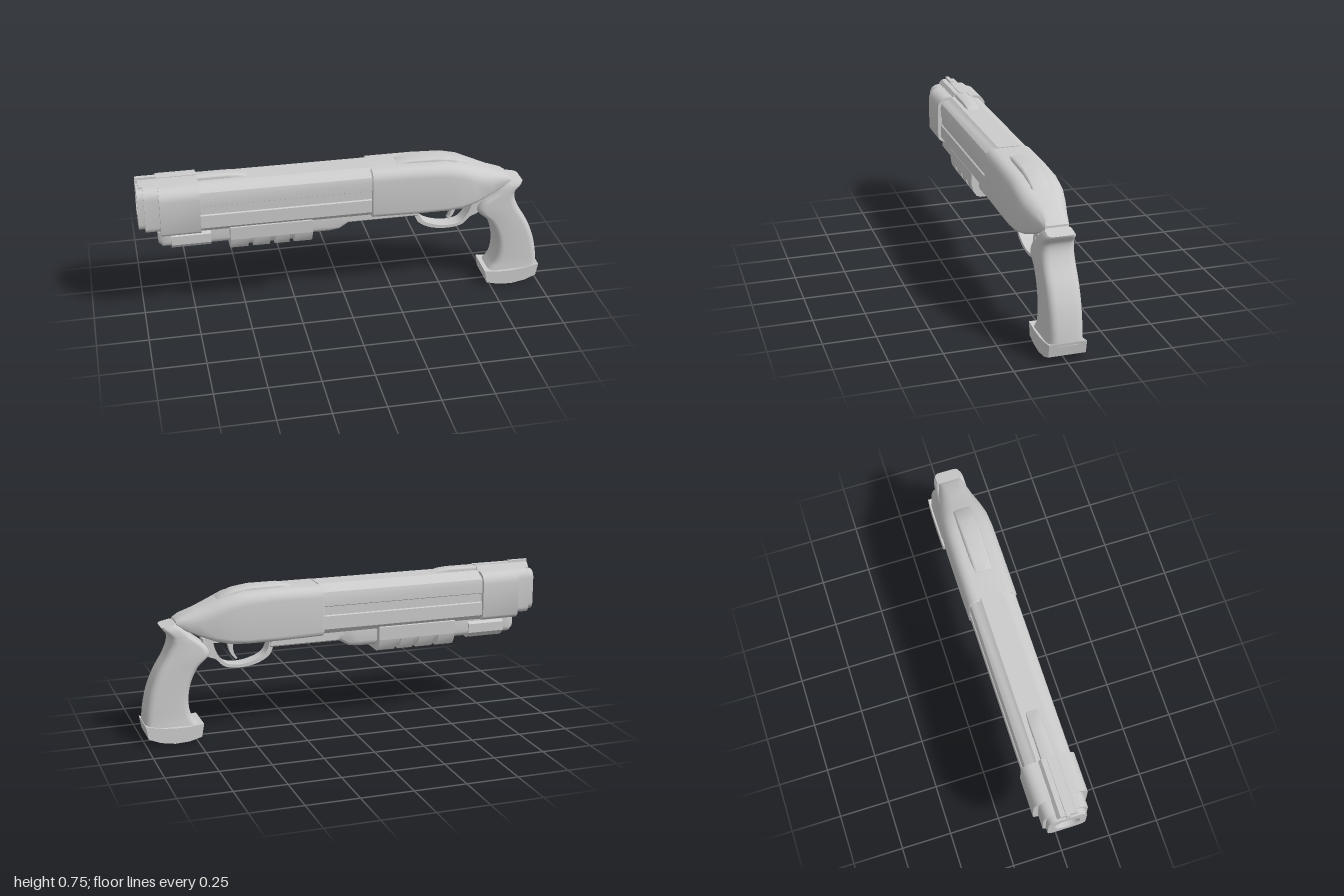
import * as THREE from 'three';
import { toCreasedNormals } from 'three/addons/utils/BufferGeometryUtils.js';

const V2 = (x, y) => new THREE.Vector2(x, y);
const V3 = (x, y, z) => new THREE.Vector3(x, y, z);

// Rounded outline, counter-clockwise: u across, v from bottom to top, own radii below and above
function outline(hw, bottom, top, rBottom, rTop, steps = 5) {
  const points = [];
  const corners = [
    [hw - rBottom, bottom + rBottom, rBottom, -0.5], [hw - rTop, top - rTop, rTop, 0],
    [-hw + rTop, top - rTop, rTop, 0.5], [-hw + rBottom, bottom + rBottom, rBottom, 1],
  ];
  for (const [u, v, r, start] of corners) {
    for (let i = 0; i <= steps; i++) {
      const a = (start + 0.5 * i / steps) * Math.PI;
      points.push(V2(u + r * Math.cos(a), v + r * Math.sin(a)));
    }
  }
  return points;
}

// Closed skin through rings of equal point count
function loft(rings, crease = 0.6) {
  const pos = [];
  const tri = (a, b, c) => [a, b, c].forEach((p) => pos.push(p.x, p.y, p.z));
  const n = rings[0].length;
  const middle = (ring) => ring.reduce((s, p) => s.add(p), V3(0, 0, 0)).divideScalar(n);
  const first = rings[0], last = rings[rings.length - 1];
  const c0 = middle(first), c1 = middle(last);
  for (let i = 0; i < n; i++) {
    const j = (i + 1) % n;
    for (let k = 0; k < rings.length - 1; k++) {
      const a = rings[k], b = rings[k + 1];
      tri(a[i], a[j], b[j]);
      tri(a[i], b[j], b[i]);
    }
    tri(c0, first[j], first[i]);
    tri(c1, last[i], last[j]);
  }
  const g = new THREE.BufferGeometry();
  g.setAttribute('position', new THREE.Float32BufferAttribute(pos, 3));
  return toCreasedNormals(g, crease);
}

// Sections along x: [x, bottom, top, halfWidth, bottomRadius, topRadius]
const loftX = (sections) => loft(sections.map(([x, b, t, hw, rb, rt]) =>
  outline(hw, b, t, rb, rt).map((p) => V3(x, p.y, -p.x))));

// Cross-section pulled along x, with an optional round bore
function extrudeX(points, x0, x1, bore) {
  const shape = new THREE.Shape(points);
  if (bore) shape.holes.push(new THREE.Path().absarc(0, 0.61, bore, 0, Math.PI * 2, true));
  const g = new THREE.ExtrudeGeometry(shape, { depth: x1 - x0, bevelEnabled: false, curveSegments: 32 });
  return toCreasedNormals(g.rotateY(Math.PI / 2).translate(x0, 0, 0), 0.6);
}

// Side silhouette pulled across z
function extrudeZ(shape, hw) {
  const g = new THREE.ExtrudeGeometry(shape, { depth: 2 * hw, bevelEnabled: false, curveSegments: 24 });
  return toCreasedNormals(g.translate(0, 0, -hw), 0.6);
}

// Mirrored cross-section from its right half, listed bottom to top
const mirrored = (half) => [
  ...half.map(([u, v]) => V2(u, v)),
  ...half.slice().reverse().map(([u, v]) => V2(-u, v)),
];
const spline = (pts) => new THREE.CatmullRomCurve3(pts.map(([x, y]) => V3(x, y, 0)))
  .getPoints(32).map((p) => V2(p.x, p.y));

export function createModel() {
  const group = new THREE.Group();
  const material = new THREE.MeshStandardMaterial({ color: 0xcccccc });
  const add = (name, geometry) => {
    const mesh = new THREE.Mesh(geometry, material);
    mesh.name = name;
    group.add(mesh);
  };

  // Muzzle: stepped collars with an open bore
  add('muzzleRing', extrudeX(outline(0.092, 0.505, 0.71, 0.035, 0.04), -1, -0.97, 0.062));
  add('muzzleCollar', extrudeX(outline(0.106, 0.495, 0.718, 0.03, 0.045), -0.97, -0.9, 0.055));
  add('muzzleBlock', extrudeX(outline(0.13, 0.478, 0.72, 0.032, 0.055), -0.9, -0.71, 0.055));

  // Barrel shroud with a long groove down each side
  add('barrelShroud', extrudeX(mirrored([
    [0.09, 0.48], [0.114, 0.505], [0.114, 0.57], [0.107, 0.574], [0.107, 0.616], [0.114, 0.62],
    [0.114, 0.665], [0.108, 0.688], [0.09, 0.703], [0.07, 0.708], [0.055, 0.72],
  ]), -0.71, 0.13));

  // Receiver, tapering to the rear
  add('receiver', loftX([
    [0.12, 0.476, 0.712, 0.115, 0.025, 0.05],
    [0.125, 0.472, 0.716, 0.12, 0.025, 0.05],
    [0.35, 0.467, 0.716, 0.12, 0.025, 0.05],
    [0.5, 0.467, 0.712, 0.12, 0.025, 0.055],
    [0.58, 0.472, 0.697, 0.117, 0.025, 0.06],
    [0.65, 0.487, 0.67, 0.106, 0.025, 0.065],
    [0.73, 0.517, 0.64, 0.085, 0.022, 0.06],
    [0.8, 0.55, 0.615, 0.066, 0.015, 0.035],
    [0.83, 0.57, 0.592, 0.056, 0.008, 0.01],
  ]));
  add('receiverHump', loftX([
    [0.26, 0.69, 0.718, 0.04, 0.002, 0.008],
    [0.32, 0.69, 0.73, 0.046, 0.002, 0.015],
    [0.46, 0.69, 0.73, 0.048, 0.002, 0.015],
    [0.54, 0.67, 0.719, 0.048, 0.002, 0.015],
    [0.61, 0.65, 0.695, 0.047, 0.002, 0.015],
    [0.64, 0.64, 0.665, 0.042, 0.002, 0.008],
  ]));

  // Top rib and sight
  const rib = (hw, top) => mirrored([[hw + 0.015, 0.7], [hw + 0.015, 0.718], [hw, top]]);
  add('topRib', loftX([
    [-0.98, 0.69, 0.737, 0.034, 0.002, 0.01],
    [-0.57, 0.69, 0.737, 0.034, 0.002, 0.01],
    [-0.52, 0.69, 0.733, 0.034, 0.002, 0.01],
    [-0.47, 0.69, 0.72, 0.03, 0.002, 0.005],
  ]));
  add('ribBase', extrudeX(rib(0.034, 0.738), -0.99, -0.71));
  add('frontSight', extrudeX(outline(0.009, 0.72, 0.749, 0.001, 0.001, 1), -1, -0.9));
  add('sightRail', extrudeX(outline(0.009, 0.72, 0.742, 0.001, 0.001, 1), -0.9, -0.71));

  // Magazine tube and its front cap
  add('magazineCap', loftX([
    [-0.91, 0.405, 0.475, 0.05, 0.025, 0.01],
    [-0.89, 0.39, 0.48, 0.062, 0.028, 0.01],
    [-0.85, 0.39, 0.48, 0.062, 0.028, 0.01],
  ]));
  add('magazineSleeve', extrudeX(mirrored([
    [0.04, 0.376], [0.072, 0.405], [0.072, 0.45], [0.055, 0.462], [0.055, 0.485],
  ]), -0.85, -0.66));
  add('magazineTube', loftX([
    [-0.66, 0.386, 0.488, 0.062, 0.03, 0.01],
    [-0.08, 0.386, 0.488, 0.062, 0.03, 0.01],
    [-0.03, 0.392, 0.488, 0.06, 0.028, 0.01],
    [0.02, 0.422, 0.488, 0.05, 0.018, 0.01],
  ]));
  add('underRail', extrudeX(mirrored([
    [0.036, 0.42], [0.046, 0.428], [0.046, 0.446], [0.06, 0.45], [0.06, 0.485],
  ]), 0, 0.37));

  // Sliding foregrip: core, shoulders and four ribs parted by notches
  add('foregripCore', extrudeX(mirrored([
    [0.06, 0.372], [0.085, 0.41], [0.088, 0.49],
  ]), -0.565, -0.175));
  add('foregripShoulder', extrudeX(mirrored([[0.1, 0.42], [0.102, 0.485], [0.095, 0.493]]), -0.57, -0.17));
  for (const [a, b] of [[-0.57, -0.483], [-0.458, -0.378], [-0.353, -0.283], [-0.258, -0.17]]) {
    add('foregripRib', extrudeX(mirrored([
      [0.055, 0.356], [0.075, 0.364], [0.093, 0.392], [0.1, 0.422],
    ]), a, b));
  }

  // Trigger guard and trigger
  const guard = new THREE.Shape(spline([
    [0.345, 0.48], [0.355, 0.42], [0.375, 0.38], [0.44, 0.344], [0.53, 0.333], [0.6, 0.346],
    [0.64, 0.385], [0.675, 0.4], [0.7, 0.44], [0.7, 0.49],
  ]));
  guard.holes.push(new THREE.Path(spline([
    [0.372, 0.466], [0.378, 0.42], [0.4, 0.385], [0.46, 0.358], [0.53, 0.348], [0.59, 0.36],
    [0.622, 0.395], [0.64, 0.43], [0.65, 0.466],
  ])));
  add('triggerGuard', extrudeZ(guard, 0.035));
  add('trigger', extrudeZ(new THREE.Shape([
    ...spline([[0.575, 0.48], [0.572, 0.44], [0.56, 0.4], [0.535, 0.368]]),
    ...spline([[0.528, 0.374], [0.545, 0.405], [0.548, 0.44], [0.53, 0.48]]),
  ]), 0.014));

  // Pistol grip: front point, back point and half width from top to bottom
  const keys = [
    [0.83, 0.582, 0.9, 0.567, 0.062], [0.8, 0.56, 0.892, 0.553, 0.074],
    [0.75, 0.51, 0.865, 0.522, 0.079], [0.69, 0.46, 0.862, 0.485, 0.079],
    [0.674, 0.42, 0.882, 0.43, 0.079], [0.73, 0.363, 0.932, 0.345, 0.079],
    [0.768, 0.285, 0.968, 0.26, 0.079], [0.782, 0.2, 0.988, 0.175, 0.079],
    [0.77, 0.125, 0.996, 0.115, 0.079], [0.74, 0.08, 0.998, 0.085, 0.081],
  ];
  const track = (f) => new THREE.CatmullRomCurve3(keys.map(f)).getPoints(36);
  const fronts = track((k) => V3(k[0], k[1], k[4]));
  const backs = track((k) => V3(k[2], k[3], k[4]));
  add('grip', loft(fronts.map((f, i) => {
    const b = backs[i], half = Math.hypot(b.x - f.x, b.y - f.y) / 2;
    const r = Math.min(0.036, half * 0.6);
    return outline(half, -f.z, f.z, r, r).map((p) => {
      const t = (p.x / half + 1) / 2;
      return V3(f.x + (b.x - f.x) * t, f.y + (b.y - f.y) * t, p.y);
    });
  })));

  // Flared foot of the grip
  add('gripFoot', extrudeZ(new THREE.Shape([
    V2(0.73, 0.02), V2(0.79, 0.004), V2(0.86, 0), V2(0.93, 0.012), V2(0.988, 0.036),
    V2(1, 0.1), V2(0.93, 0.084), V2(0.86, 0.077), V2(0.79, 0.077), V2(0.718, 0.085),
  ]), 0.088));

  return group;
}
